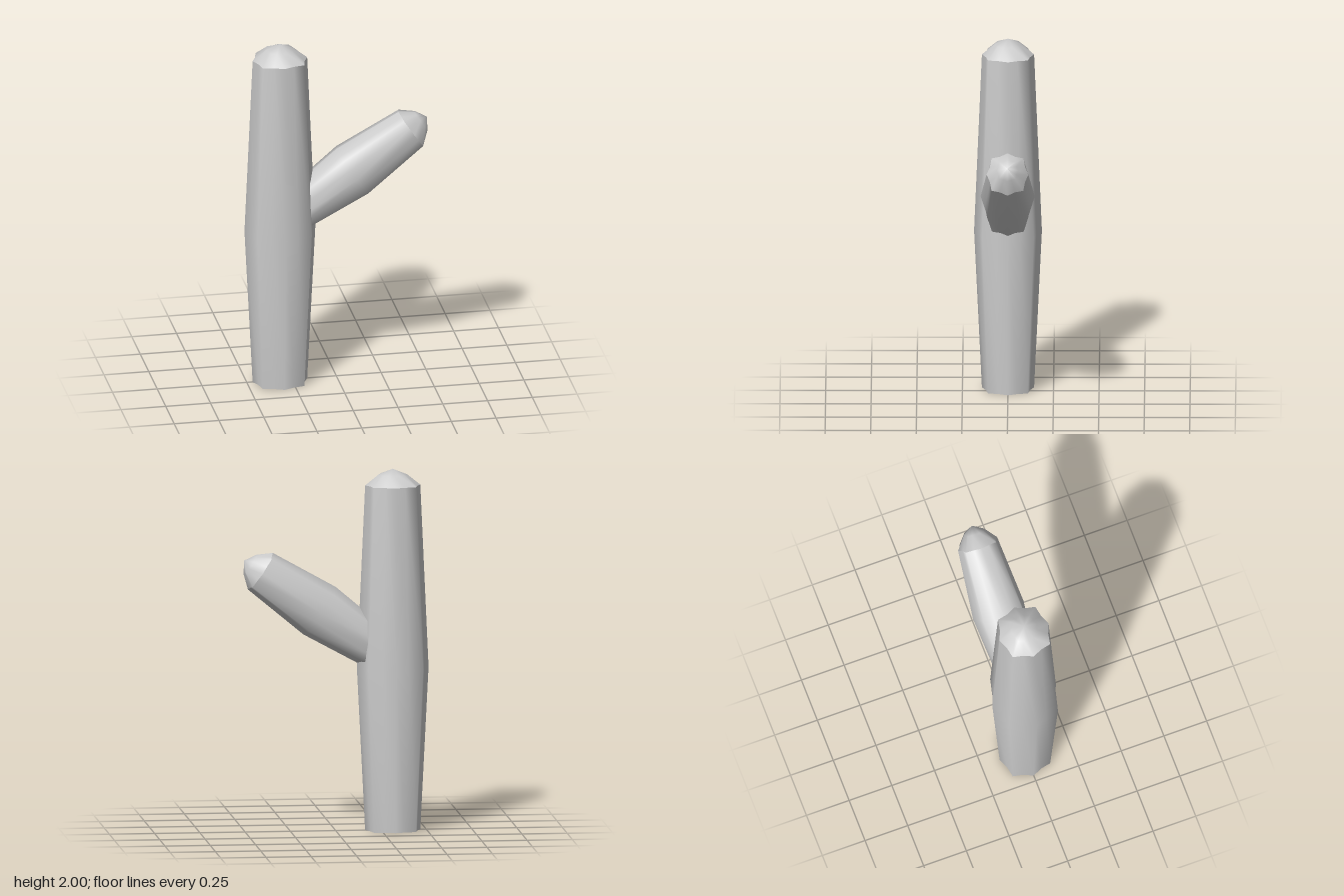
import * as THREE from 'three';
import { toCreasedNormals } from 'three/addons/utils/BufferGeometryUtils.js';

const material = new THREE.MeshStandardMaterial({ color: 0xcccccc, side: THREE.DoubleSide });

// One ribbed outline of unit size: eight ridges with a shallow valley between each pair.
const ridge = (i) => {
  const a = (i * Math.PI) / 4;
  const diagonal = i % 2 ? 1.08 : 1;
  return new THREE.Vector2(Math.sin(a) * diagonal, Math.cos(a) * diagonal * 0.94);
};
const outline = Array.from({ length: 16 }, (_, k) => {
  if (k % 2 === 0) return ridge(k / 2);
  return ridge((k - 1) / 2).add(ridge((k + 1) / 2)).multiplyScalar(0.5 * 0.955);
});

// Sweep a [radius, height] profile around the ribbed outline.
function ribbed(name, profile) {
  const lathe = new THREE.LatheGeometry(profile.map(([r, y]) => new THREE.Vector2(r, y)), 16);
  const pos = lathe.attributes.position;
  for (let i = 0; i < pos.count; i++) {
    const k = Math.floor(i / profile.length) % 16;
    const [r, y] = profile[i % profile.length];
    pos.setXYZ(i, outline[k].x * r, y, outline[k].y * r);
  }
  const mesh = new THREE.Mesh(toCreasedNormals(lathe, 1.2), material);
  mesh.name = name;
  return mesh;
}

// A stem bulging in the middle, open below, with a low domed tip.
function stem(name, radius, heights, domeRise) {
  const [middle, top] = heights;
  const end = radius * 0.77;
  const group = new THREE.Group();
  group.name = name;
  group.add(
    ribbed(name + 'Body', [[end, 0], [radius, middle], [end, top]]),
    ribbed(name + 'Tip', [[end, top], [end * 0.52, top + domeRise * 0.65], [0, top + domeRise]])
  );
  return group;
}

export function createModel() {
  const model = new THREE.Group();
  model.name = 'cactus';

  const trunk = stem('trunk', 0.198, [0.9, 1.91], 0.09);
  trunk.position.x = -0.315;

  // The arm starts inside the trunk and leans out to the model's left.
  const arm = stem('arm', 0.158, [0.354, 0.75], 0.108);
  arm.position.set(-0.203, 1.02, 0);
  arm.rotation.z = -Math.atan2(0.825, 0.565);

  model.add(trunk, arm);
  return model;
}
